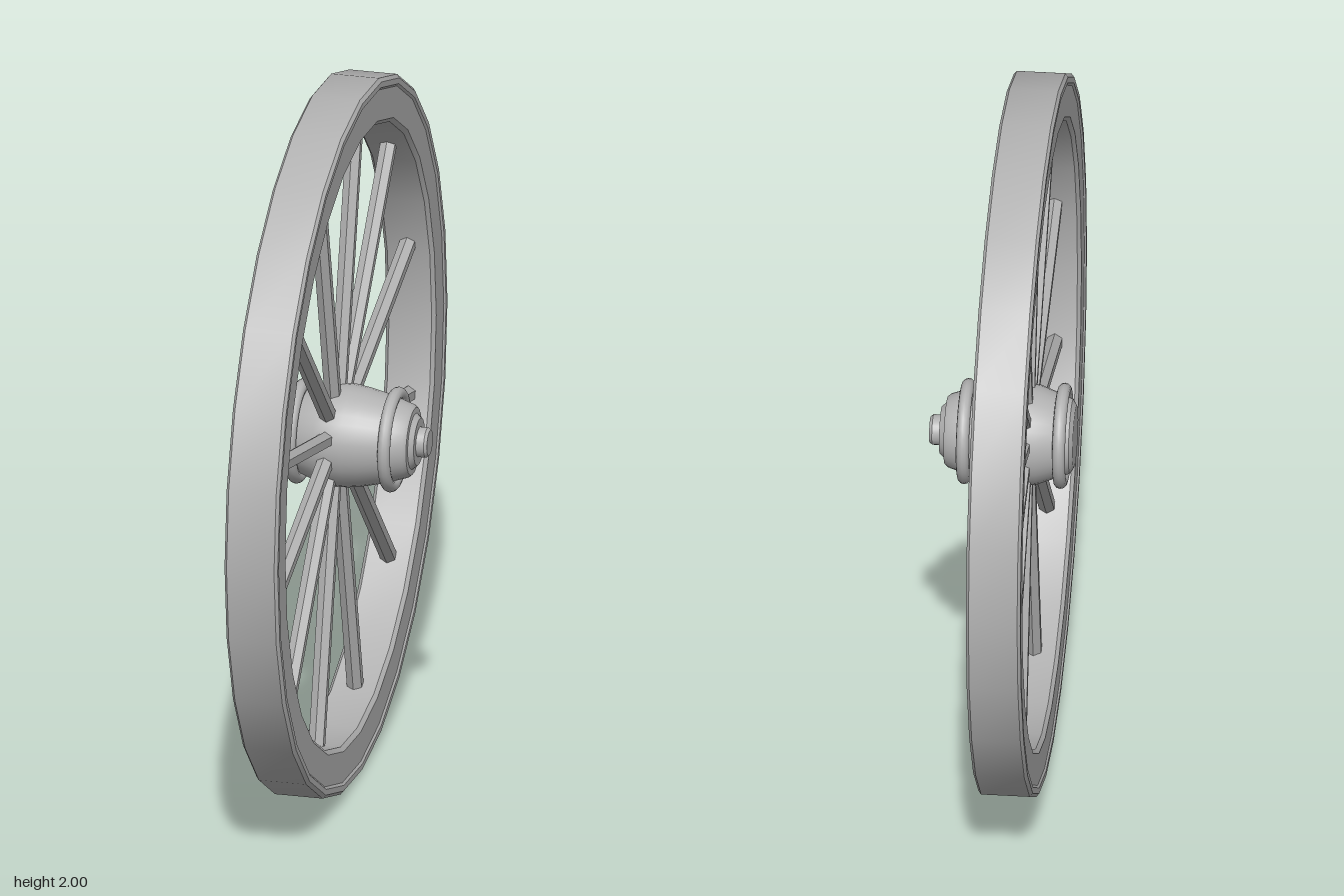
import * as THREE from 'three';
import { toCreasedNormals } from 'three/addons/utils/BufferGeometryUtils.js';

const RIM_X = -0.065; // middle plane of the rim and spokes

export function createModel() {
  const wheel = new THREE.Group();
  wheel.name = 'wagonWheel';
  const grey = new THREE.MeshStandardMaterial({ color: 0xb2b2b2 });
  grey.name = 'plain grey';

  // Everything turns about a hub centre one unit above the ground
  const body = new THREE.Group();
  body.name = 'wheelBody';
  body.position.y = 1;
  wheel.add(body);

  // Revolve [radius, x] points about the x axis
  function turned(name, points, sides, crease = 0.5) {
    const lathe = new THREE.LatheGeometry(points.map(([r, x]) => new THREE.Vector2(r, x)), sides);
    lathe.rotateZ(-Math.PI / 2);
    const mesh = new THREE.Mesh(toCreasedNormals(lathe, crease), grey);
    mesh.name = name;
    body.add(mesh);
    return mesh;
  }

  // Wooden rim with a chamfered inner edge
  turned('woodenRim', [
    [0.972, -0.07], [0.972, 0.07], [0.88, 0.07], [0.868, 0.06],
    [0.868, -0.06], [0.88, -0.07], [0.972, -0.07],
  ], 28).position.x = RIM_X;

  // Outer tyre with bevelled edges
  turned('tyre', [
    [0.99, -0.075], [1, -0.067], [1, 0.067], [0.99, 0.075],
    [0.974, 0.075], [0.966, 0.069], [0.966, -0.069], [0.974, -0.075], [0.99, -0.075],
  ], 28).position.x = RIM_X;

  // Barrel-shaped hub with a domed back and stepped front
  turned('hub', [
    [0, -0.2], [0.085, -0.2], [0.103, -0.19], [0.112, -0.165], [0.122, -0.14],
    [0.137, -0.1], [0.143, -0.06], [0.143, -0.02], [0.137, 0.02], [0.128, 0.06],
    [0.118, 0.1], [0.11, 0.12], [0.102, 0.145], [0.094, 0.155], [0.078, 0.156],
    [0.066, 0.17], [0, 0.17],
  ], 32);

  // Axle end
  turned('axleEnd', [[0.042, 0.15], [0.042, 0.192], [0.036, 0.2], [0, 0.2]], 24);

  // Rounded bands around the hub
  for (const [name, x] of [['backHubBand', -0.165], ['frontHubBand', 0.1]]) {
    const band = new THREE.Mesh(new THREE.TorusGeometry(0.128, 0.018, 12, 32), grey);
    band.name = name;
    band.rotation.y = Math.PI / 2;
    band.position.x = x;
    body.add(band);
  }

  // Twelve six-sided spokes
  const spokeGeometry = toCreasedNormals(
    new THREE.CylinderGeometry(0.024, 0.024, 0.8, 6).translate(0, 0.48, 0), 0.5);
  for (let i = 0; i < 12; i++) {
    const spoke = new THREE.Mesh(spokeGeometry, grey);
    spoke.name = 'spoke' + (i + 1);
    spoke.position.x = RIM_X;
    spoke.rotation.x = ((i + 0.5) * Math.PI) / 6;
    body.add(spoke);
  }

  return wheel;
}
